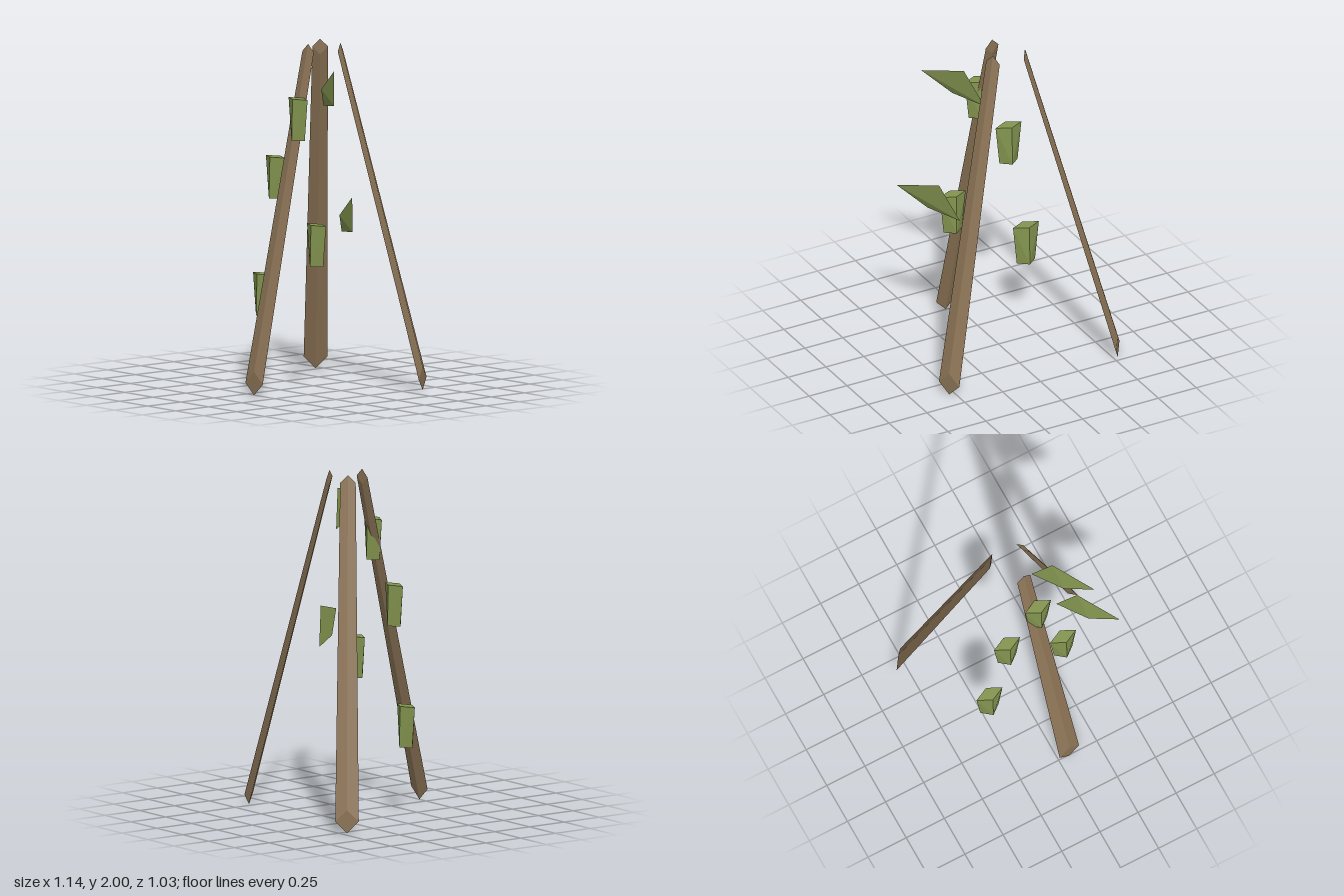
import * as THREE from 'three';
import { ConvexGeometry } from 'three/addons/geometries/ConvexGeometry.js';

const wood = new THREE.MeshStandardMaterial({ color: 0x8b7355 });
wood.name = 'brown wood';
const green = new THREE.MeshStandardMaterial({ color: 0x83954f });
green.name = 'leaf green';

const V = (x, y, z) => new THREE.Vector3(x, y, z);

// four corners around a centre, at plus and minus the half axes a and b
function diamond(c, a, b) {
  return [a, b].flatMap((h) => [c.clone().add(h), c.clone().sub(h)]);
}

function solid(name, points, material) {
  const mesh = new THREE.Mesh(new ConvexGeometry(points), material);
  mesh.name = name;
  return mesh;
}

// leaning pole: upright diamond ends, facing along the pole's spread
function pole(name, foot, head) {
  const side = V(foot.z - head.z, 0, head.x - foot.x).normalize();
  const end = (c, r) => diamond(c, side.clone().multiplyScalar(r), V(0, r, 0));
  return solid(name, [...end(foot, 0.068), ...end(head, 0.045)], wood);
}

// hanging pod: wide diamond on top, narrower and slightly thicker below
function pod(x, top) {
  return solid('pod', [
    ...diamond(V(x, top, 0.157), V(0.085, 0, 0), V(0, 0, 0.042)),
    ...diamond(V(x, top - 0.24, 0.157), V(0.06, 0, 0), V(0, 0, 0.048)),
  ], green);
}

// thin folded kite-shaped leaf
function leaf(x, y) {
  const mesh = solid('leaf', [
    V(0.122, 1.64, -0.055), V(0.215, 1.86, 0.025), V(0.37, 1.795, 0.252), V(0.237, 1.672, 0.123),
  ], green);
  mesh.position.set(x, y, 0);
  return mesh;
}

export function createModel() {
  const model = new THREE.Group();
  model.name = 'plant tripod';

  // three poles
  model.add(
    pole('frontPole', V(0.068, 0.068, 0.504), V(0.014, 1.955, 0.051)),
    pole('backRightPole', V(-0.53, 0.068, -0.463), V(-0.099, 1.955, -0.135)),
    pole('backLeftPole', V(0.534, 0.068, -0.375), V(0.102, 1.955, -0.118)),
  );

  // pods and leaves
  for (const [x, top] of [[-0.268, 0.64], [-0.153, 1.335], [0.05, 1.695], [0.215, 0.978]]) {
    model.add(pod(x, top));
  }
  model.add(leaf(0, 0), leaf(0.163, -0.716));

  return model;
}
